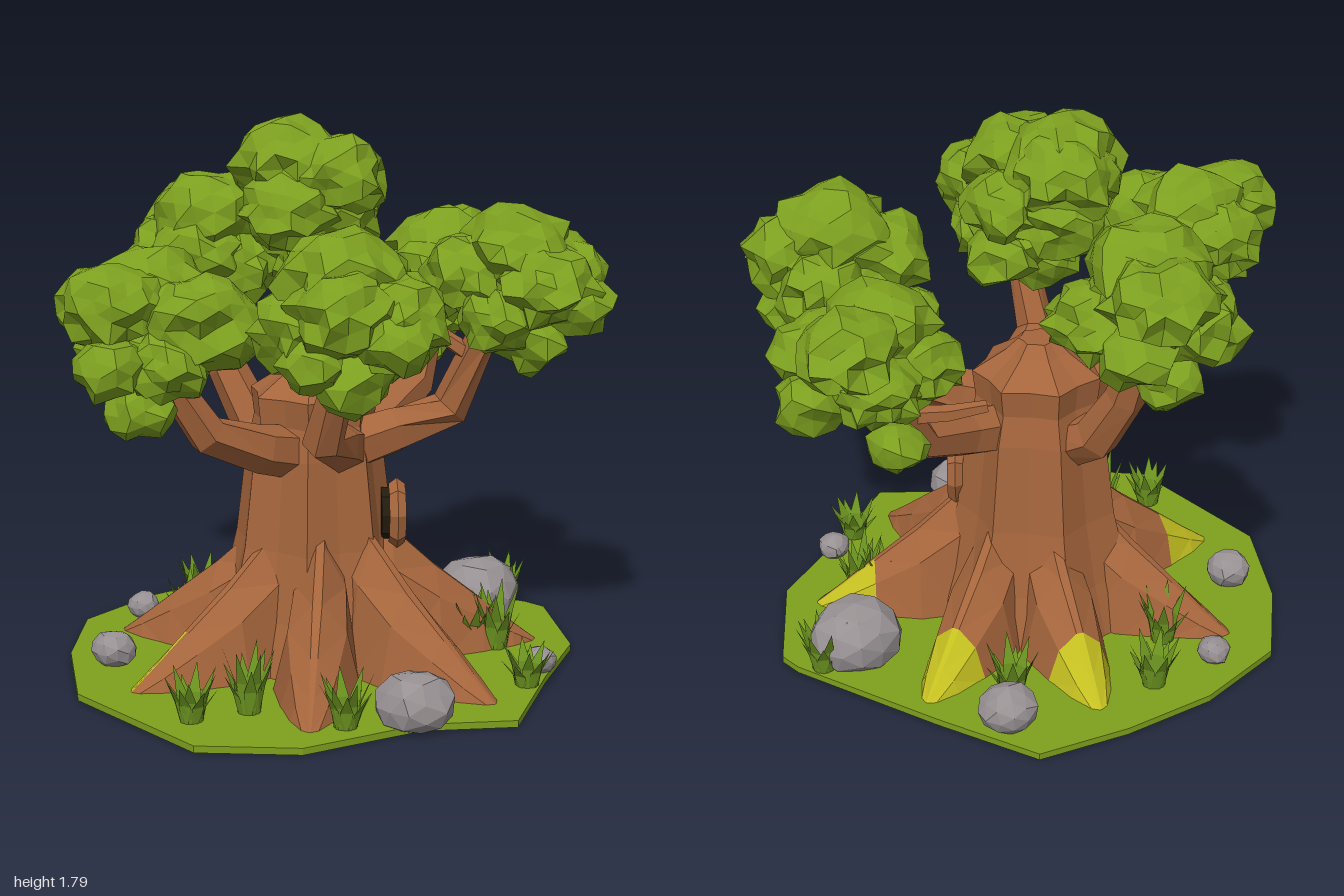
import * as THREE from 'three';
import { mergeGeometries } from 'three/addons/utils/BufferGeometryUtils.js';

const V = (x, y, z) => new THREE.Vector3(x, y, z);
const mat = (name, color, extra = {}) => Object.assign(new THREE.MeshStandardMaterial({ color, ...extra }), { name });

// Faceted normals for any geometry
function facet(geo) {
  const g = geo.index ? geo.toNonIndexed() : geo;
  g.deleteAttribute('uv');
  g.computeVertexNormals();
  return g;
}

// Closed skin through matching cross-section loops, turned outwards
function loft(sections) {
  const tris = [], n = sections[0].length;
  for (let i = 0; i < sections.length - 1; i++) {
    for (let j = 0; j < n; j++) {
      const k = (j + 1) % n, a = sections[i], b = sections[i + 1];
      tris.push([a[j], b[j], b[k]], [a[j], b[k], a[k]]);
    }
  }
  const cap = (s, flip) => {
    const c = s.reduce((t, p) => t.add(p), V(0, 0, 0)).divideScalar(n);
    s.forEach((p, j) => tris.push(flip ? [c, s[(j + 1) % n], p] : [c, p, s[(j + 1) % n]]));
  };
  cap(sections[0], false);
  cap(sections[sections.length - 1], true);
  const volume = tris.reduce((t, [a, b, c]) => t + a.dot(b.clone().cross(c)), 0);
  if (volume < 0) tris.forEach(t => t.reverse());
  return facet(new THREE.BufferGeometry().setFromPoints(tris.flat()));
}

// Tapered angular limb along a bent path
function limb(path, radii, sides) {
  const points = path.map(p => V(...p));
  const sections = points.map((p, i) => {
    const a = points[Math.max(i - 1, 0)], b = points[Math.min(i + 1, points.length - 1)];
    const t = b.clone().sub(a).normalize();
    const u = V(0.2, 0.1, 1).cross(t).normalize(), w = t.clone().cross(u);
    return Array.from({ length: sides }, (_, j) => {
      const q = (j / sides) * Math.PI * 2;
      return p.clone().addScaledVector(u, Math.cos(q) * radii[i]).addScaledVector(w, Math.sin(q) * radii[i]);
    });
  });
  return loft(sections);
}

// Rough ball: vertices moved in and out by a position hash, top and underside roughness apart
function lump([x, y, z, r], detail, roughTop, roughUnder, seed) {
  const g = new THREE.IcosahedronGeometry(1, detail), p = g.attributes.position, v = V(0, 0, 0);
  for (let i = 0; i < p.count; i++) {
    v.fromBufferAttribute(p, i);
    const q = [v.x, v.y, v.z].map(c => Math.round(c * 100));
    const h = Math.abs(Math.sin(q[0] * 12.99 + q[1] * 78.23 + q[2] * 37.72 + seed * 9.1) * 43758.5) % 1;
    const rough = v.y > 0.1 ? roughTop : roughUnder;
    v.multiplyScalar(r * (1 - rough / 2 + rough * h));
    p.setXYZ(i, v.x + x, Math.max(v.y * 0.84 + y, 0.012), v.z + z);
  }
  return facet(g);
}

export function createModel() {
  const tree = new THREE.Group();
  tree.name = 'tree';
  const bark = mat('bark brown', 0xa5653c), leaf = mat('leaf green', 0x7c9f1f);
  const turf = mat('turf green', 0x7fa01d), moss = mat('moss yellow', 0xc4bf20);
  const stone = mat('stone grey', 0x989193), hollow = mat('hollow dark', 0x221c0e);
  const blade = mat('grass green', 0x6c9420, { side: THREE.DoubleSide });
  const add = (name, geo, material, parent = tree) => {
    const m = new THREE.Mesh(geo, material);
    m.name = name;
    parent.add(m);
  };

  // Ground slab
  const rim = [[-0.06, 0.855], [0.3, 0.69], [0.6, 0.57], [0.85, 0.27], [0.85, 0.19], [0.71, -0.33], [0.6, -0.68], [0.31, -0.78],
    [0, -0.84], [-0.33, -0.815], [-0.59, -0.6], [-0.82, -0.3], [-0.865, 0.27], [-0.66, 0.52], [-0.28, 0.66]];
  const outline = new THREE.Shape(rim.map(([x, z]) => new THREE.Vector2(x, -z)));
  const slab = new THREE.ExtrudeGeometry(outline, { depth: 0.022, bevelEnabled: false });
  add('ground', facet(slab.rotateX(-Math.PI / 2).translate(0, 0.008, 0)), turf);

  // Ribbed trunk with a blunt cone on top
  const rings = [[0.02, 0.36], [0.2, 0.3], [0.42, 0.25], [0.72, 0.215], [0.82, 0.19], [0.91, 0.2], [0.98, 0.1], [1.02, 0.06]];
  const trunkRings = rings.map(([y, r]) => Array.from({ length: 14 }, (_, j) => {
    const a = ((j + 0.5) / 14) * Math.PI * 2, k = r * (j % 2 ? 1.07 : 0.91);
    return V(Math.cos(a) * k, y, Math.sin(a) * k - 0.05);
  }));
  add('trunk', loft(trunkRings), bark);

  // Roots: ridged, tapering outwards; some have mossy tips [degrees, +side moss, -side moss]
  const stations = [[0.1, 0.56, 0.07], [0.22, 0.45, 0.11], [0.37, 0.31, 0.125], [0.52, 0.19, 0.095], [0.63, 0.1, 0.065], [0.72, 0.03, 0.03]];
  const roots = [[90, 0, 0], [38, 0, 1], [-20, 1, 1], [-65, 1, 1], [-115, 0, 0], [-165, 1, 0], [141, 0, 0]];
  for (const [deg, ...mossy] of roots) {
    const a = deg * Math.PI / 180, c = Math.cos(a), s = Math.sin(a);
    [1, -1].forEach((side, i) => {
      const at = (r, y, w) => V(c * r - s * w * side, Math.max(y, 0.015), s * r + c * w * side);
      const half = stations.map(([r, h, w]) => [at(r, 0, 0), at(r, 0, w * 1.15), at(r, h * 0.72, w * 0.75), at(r, h, w * 0.12), at(r, h, 0)]);
      add('root', loft(half.slice(0, 4)), bark);
      add('rootTip', loft(half.slice(3)), mossy[i] ? moss : bark);
    });
  }

  // Main branches and twigs
  const branches = [
    [[-0.08, 0.72, -0.02], [-0.28, 0.77, -0.02], [-0.47, 0.845, -0.06], [-0.6, 1.06, -0.12], [-0.63, 1.2, -0.13]],
    [[0.08, 0.72, -0.02], [0.3, 0.77, -0.02], [0.52, 0.845, -0.06], [0.65, 1.05, -0.1], [0.7, 1.2, -0.1]],
    [[0, 0.74, 0.08], [-0.14, 0.79, 0.18], [-0.29, 0.845, 0.26], [-0.32, 1.1, 0.37], [-0.35, 1.25, 0.43]],
    [[0, 0.74, 0.08], [0.14, 0.79, 0.18], [0.32, 0.845, 0.26], [0.35, 1.1, 0.37], [0.38, 1.25, 0.43]],
    [[0, 0.68, -0.16], [-0.01, 0.76, -0.31], [-0.03, 0.93, -0.41], [-0.03, 1.2, -0.5], [0, 1.32, -0.55]],
  ];
  branches.forEach(path => add('branch', limb(path, [0.09, 0.078, 0.066, 0.05, 0.03], 6), bark));
  const twigs = [
    [[-0.58, 1.02, -0.11], [-0.5, 1.07, -0.2], [-0.42, 1.13, -0.24]], [[0.63, 1.02, -0.1], [0.68, 1.06, -0.12], [0.74, 1.09, -0.16]],
    [[0.6, 0.97, -0.08], [0.5, 0.98, -0.18], [0.4, 0.99, -0.24]], [[-0.03, 1.1, -0.48], [0.06, 1.13, -0.45], [0.15, 1.2, -0.44]],
    [[-0.32, 1.02, 0.35], [-0.28, 1.08, 0.27], [-0.25, 1.12, 0.22]], [[0.34, 1.02, 0.35], [0.29, 1.08, 0.27], [0.25, 1.14, 0.22]],
  ];
  twigs.forEach(path => add('twig', limb(path, [0.032, 0.027, 0.02], 5), bark));

  // Knot hole: faceted ring with a dark, slatted mouth
  const knot = new THREE.Group();
  knot.name = 'knotHole';
  add('knotRing', facet(new THREE.TorusGeometry(0.068, 0.022, 5, 8)), bark, knot);
  const mouth = new THREE.CylinderGeometry(0.066, 0.066, 0.05, 8).rotateX(Math.PI / 2).translate(0, 0, -0.015);
  add('knotMouth', facet(mouth), hollow, knot);
  add('knotSlat', facet(new THREE.BoxGeometry(0.007, 0.09, 0.006).rotateZ(-0.3).translate(0, 0, 0.012)), bark, knot);
  knot.scale.set(0.95, 1.3, 1.3);
  knot.position.set(0.17, 0.5, 0.165);
  knot.rotation.set(0, Math.PI / 4, -0.12);
  tree.add(knot);

  // Foliage clumps: x, y, z, radius of each rough ball
  const frontClump = [[0.42, 1.36, 0.44, 0.19], [0.53, 1.29, 0.53, 0.16], [0.38, 1.27, 0.6, 0.16], [0.33, 1.3, 0.33, 0.16],
    [0.44, 1.08, 0.5, 0.12], [0.52, 1.23, 0.37, 0.15], [0.46, 1.22, 0.67, 0.11], [0.3, 1.17, 0.47, 0.13], [0.58, 1.15, 0.46, 0.1]];
  const clumps = {
    leftFoliage: [[-0.62, 1.3, -0.14, 0.18], [-0.8, 1.29, -0.12, 0.16], [-0.62, 1.24, 0.06, 0.17], [-0.89, 1.12, -0.03, 0.11],
      [-0.76, 0.97, -0.05, 0.1], [-0.55, 1.13, -0.1, 0.14], [-0.6, 1.25, -0.25, 0.15], [-0.72, 1.13, 0.03, 0.13], [-0.72, 1.15, -0.18, 0.12]],
    rightFoliage: [[0.68, 1.28, -0.08, 0.18], [0.84, 1.29, -0.14, 0.15], [0.89, 1.1, 0, 0.11], [0.72, 0.95, -0.19, 0.09],
      [0.55, 1.22, 0, 0.15], [0.77, 1.19, 0.09, 0.14], [0.8, 1.18, -0.21, 0.13], [0.64, 1.1, -0.06, 0.13], [0.62, 1.2, -0.18, 0.13]],
    frontRightFoliage: frontClump,
    frontLeftFoliage: frontClump.map(([x, y, z, r]) => [-x + 0.03, y + 0.01, z, r]),
    backFoliage: [[0.04, 1.43, -0.55, 0.19], [0.12, 1.4, -0.68, 0.17], [-0.05, 1.3, -0.52, 0.16], [0.19, 1.3, -0.48, 0.14],
      [0.05, 1.11, -0.66, 0.1], [-0.02, 1.3, -0.69, 0.15], [0.08, 1.27, -0.45, 0.14], [0.18, 1.24, -0.65, 0.12]],
    crownFoliage: [[-0.02, 1.64, -0.12, 0.18], [0.04, 1.62, -0.2, 0.16], [0.02, 1.62, 0.04, 0.15], [0.15, 1.52, -0.06, 0.14],
      [-0.12, 1.5, -0.05, 0.15], [0.03, 1.45, -0.06, 0.18], [0, 1.33, -0.04, 0.13], [0.06, 1.5, -0.2, 0.13], [0.18, 1.37, -0.06, 0.11]],
  };
  Object.entries(clumps).forEach(([name, balls], c) => {
    const lumps = balls.map((ball, i) => lump(ball, ball[3] > 0.12 ? 2 : 1, 0.28, 0.5, c * 10 + i));
    add(name, mergeGeometries(lumps), leaf);
  });

  // Rocks
  const rocks = [[0.66, 0.1, 0.12, 0.15], [-0.27, 0.085, 0.62, 0.12], [0.33, 0.065, 0.64, 0.055], [0.56, 0.085, -0.5, 0.095],
    [-0.55, 0.075, -0.43, 0.075], [-0.16, 0.065, -0.71, 0.055]];
  rocks.forEach((rock, i) => add('rock', lump(rock, 1, 0.16, 0.16, i + 3), stone));

  // Grass tufts: folded tapering blades leaning outwards
  const tufts = [[-0.73, 0.12, 0.17], [-0.56, 0.2, 0.23], [-0.45, 0.5, 0.18], [0.2, 0.69, 0.15], [0.41, 0.4, 0.23], [0.79, 0.13, 0.19],
    [0.45, -0.4, 0.2], [-0.12, -0.52, 0.2], [0.08, -0.67, 0.18], [0.36, 0.33, 0.19]];
  tufts.forEach(([x, z, h], t) => {
    const pts = [];
    for (let i = 0; i < 12; i++) {
      const a = i * 2.4 + t, c = Math.cos(a), s = Math.sin(a), tall = h * (0.6 + 0.4 * Math.abs(Math.sin(i * 5.3 + t)));
      const at = (r, y, w) => V(x + c * r - s * w, 0.02 + y, z + s * r + c * w);
      const [l, m, r, ml, mr, tip] = [at(0.025, 0, -0.018), at(0.035, 0, 0), at(0.025, 0, 0.018),
        at(0.045, tall * 0.5, -0.02), at(0.045, tall * 0.5, 0.02), at(0.085, tall, 0)];
      pts.push(l, ml, m, m, ml, mr, m, mr, r, ml, tip, mr);
    }
    add('grassTuft', facet(new THREE.BufferGeometry().setFromPoints(pts)), blade);
  });
  return tree;
}
